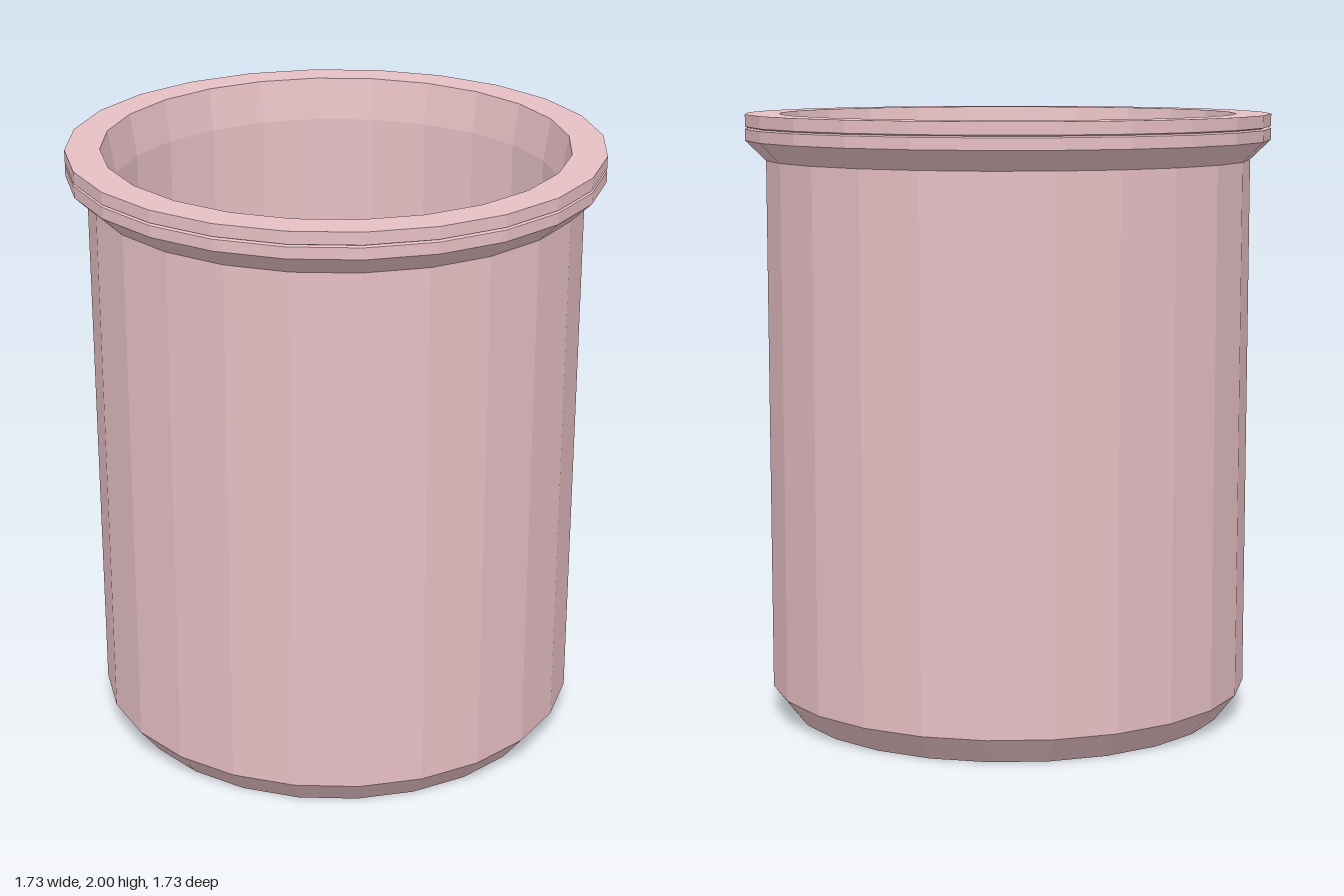
import * as THREE from 'three';

const SIDES = 24;
const HOLE = 0.023; // drain hole radius
const FLOOR = 0.1;

export function createModel() {
  const group = new THREE.Group();
  group.name = 'pot';
  const clay = new THREE.MeshStandardMaterial({ color: 0xe6bfc4, flatShading: true });
  clay.name = 'pink clay';

  // Revolves a [radius, height] profile; ascending profiles face outward
  const turn = (name, profile) => {
    const points = profile.map(([r, y]) => new THREE.Vector2(r, y));
    const mesh = new THREE.Mesh(new THREE.LatheGeometry(points, SIDES), clay);
    mesh.name = name;
    group.add(mesh);
  };

  // Underside, bevelled foot and straight wall
  turn('outerWall', [[HOLE, 0], [0.73, 0], [0.8, 0.09], [0.8, 1.85]]);

  // Flared collar with a fine groove, a flat lip and a tapered mouth
  turn('rim', [
    [0.8, 1.85], [0.867, 1.915], [0.867, 1.952], [0.857, 1.956], [0.867, 1.96],
    [0.867, 2], [0.755, 2], [0.732, 1.86],
  ]);

  // Straight inner wall curving in to the floor
  turn('innerWall', [[0.732, 1.86], [0.73, 0.75], [0.66, 0.35], [0.58, FLOOR]]);
  turn('floor', [[0.58, FLOOR], [HOLE, FLOOR]]);

  // Sides of the drain hole
  turn('drainHole', [[HOLE, FLOOR], [HOLE, 0]]);

  return group;
}
